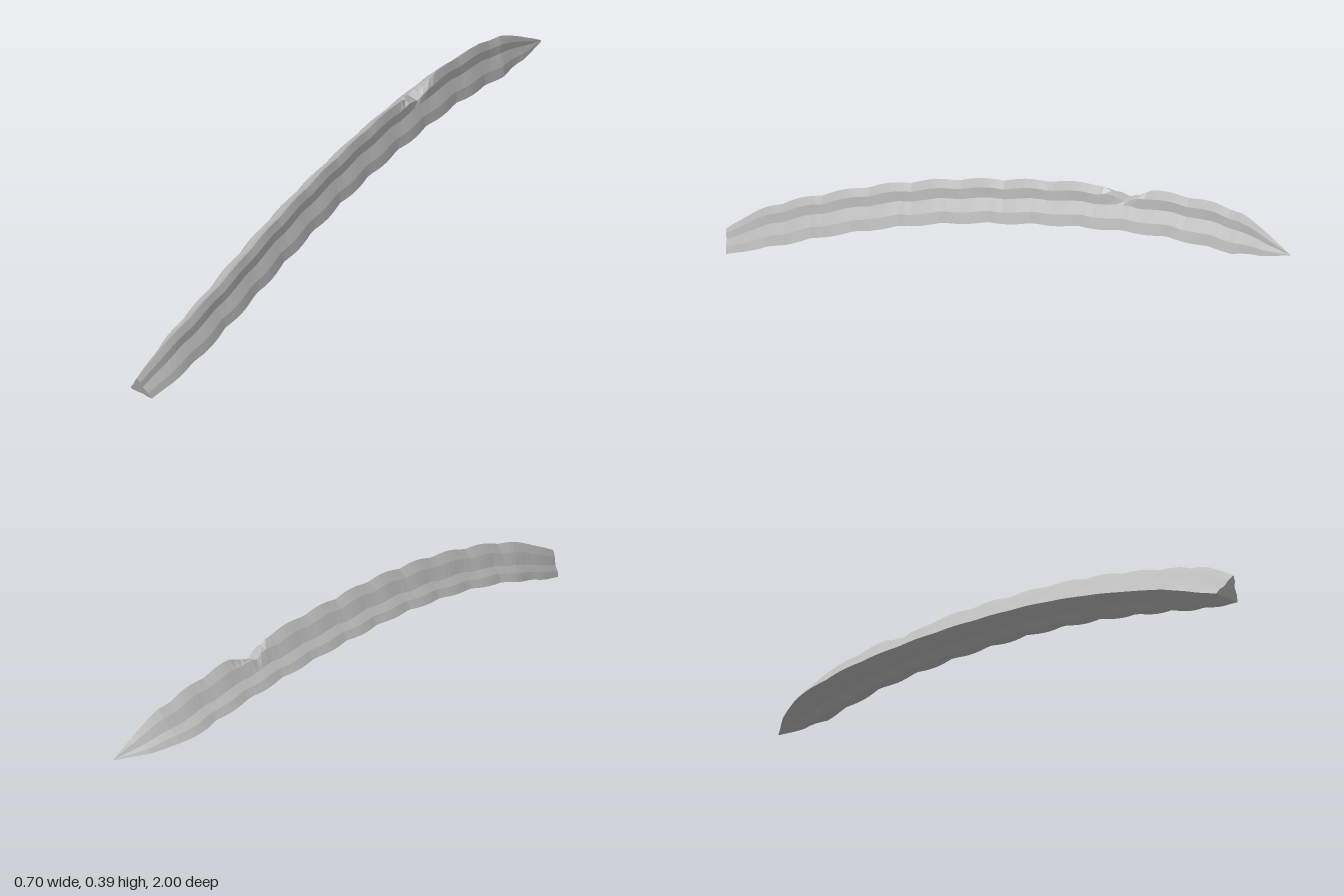
import * as THREE from 'three';

const RINGS = 84;
const SIDES = 12; // three ribs, each followed by shoulder, groove, shoulder

// Linear interpolation in a short list of [position, value] keys
function sample(keys, u) {
  for (let i = 1; i < keys.length; i++) {
    const [u0, v0] = keys[i - 1], [u1, v1] = keys[i];
    if (u <= u1) return v0 + (v1 - v0) * (u - u0) / (u1 - u0);
  }
  return keys[keys.length - 1][1];
}

// Centre line of the arching stem, from cut base to tip
const axis = new THREE.CatmullRomCurve3([
  [-0.312, 0.028, 0.98], [-0.236, 0.106, 0.8], [-0.165, 0.172, 0.6], [-0.108, 0.224, 0.4],
  [-0.054, 0.263, 0.2], [-0.002, 0.288, 0], [0.052, 0.306, -0.2], [0.108, 0.315, -0.4],
  [0.166, 0.315, -0.6], [0.235, 0.297, -0.8], [0.287, 0.28, -0.9], [0.345, 0.261, -1],
].map(p => new THREE.Vector3(...p)));

const radiusKeys = [[0, 0.048], [0.04, 0.064], [0.1, 0.077], [0.3, 0.081], [0.6, 0.081],
  [0.86, 0.081], [0.905, 0.075], [0.955, 0.044], [1, 0.002]];

// One three-ribbed cross-section with scalloped ribs
function section(u) {
  const p = axis.getPointAt(u), t = axis.getTangentAt(u);
  const side = t.clone().cross(new THREE.Vector3(0, 1, 0)).normalize();
  const up = side.clone().cross(t);
  const r = sample(radiusKeys, u);
  const roll = THREE.MathUtils.degToRad(sample([[0, 4], [0.12, 13], [1, 15]], u));
  const direction = turn => {
    const a = roll + turn * Math.PI * 2 / 3;
    return new THREE.Vector2(Math.sin(a), Math.cos(a));
  };
  const ribs = [0, 1, 2].map(k => {
    const wave = Math.abs(Math.sin(Math.PI * (u * 13 + 0.5 + k * 0.33)));
    const ease = Math.min(1, u * 12);
    return direction(k).multiplyScalar(r * (1.02 - 0.1 * ease * (1 - wave)));
  });
  // V-shaped cut across the upper rib
  const top = direction(0);
  const limit = 0.036 + 0.48 * Math.abs(p.z + 0.42);
  const ring = [];
  for (let k = 0; k < 3; k++) {
    const out = direction(k + 0.5);
    for (const [f, bulge] of [[0, 0], [0.21, 0.035], [0.43, -0.055], [0.74, 0.03]]) {
      const q = ribs[k].clone().lerp(ribs[(k + 1) % 3], f).addScaledVector(out, bulge * r);
      q.addScaledVector(top, -Math.max(0, q.dot(top) - limit));
      ring.push(p.clone().addScaledVector(side, q.x).addScaledVector(up, q.y));
    }
  }
  return ring;
}

function facetedMesh(name, points, material) {
  const geometry = new THREE.BufferGeometry().setFromPoints(points);
  geometry.computeVertexNormals();
  const mesh = new THREE.Mesh(geometry, material);
  mesh.name = name;
  return mesh;
}

export function createModel() {
  const group = new THREE.Group();
  group.name = 'ribbedStem';
  const grey = new THREE.MeshStandardMaterial({ color: 0xbababa });
  grey.name = 'pale grey';

  // Skin between neighbouring sections
  const rings = [];
  for (let i = 0; i <= RINGS; i++) rings.push(section(i / RINGS));
  const skin = [];
  for (let i = 0; i < RINGS; i++) {
    for (let j = 0; j < SIDES; j++) {
      const n = (j + 1) % SIDES;
      const a = rings[i][j], b = rings[i][n], c = rings[i + 1][j], d = rings[i + 1][n];
      skin.push(a, b, c, b, d, c);
    }
  }
  group.add(facetedMesh('stem', skin, grey));

  // Flat cut at the base and the tiny closing face at the tip
  const cap = (ring, flip) => {
    const centre = ring.reduce((s, p) => s.add(p), new THREE.Vector3()).divideScalar(SIDES);
    return ring.flatMap((p, j) => {
      const q = ring[(j + 1) % SIDES];
      return flip ? [centre, q, p] : [centre, p, q];
    });
  };
  group.add(facetedMesh('cutBase', cap(rings[0], true), grey));
  group.add(facetedMesh('tip', cap(rings[RINGS], false), grey));
  return group;
}
